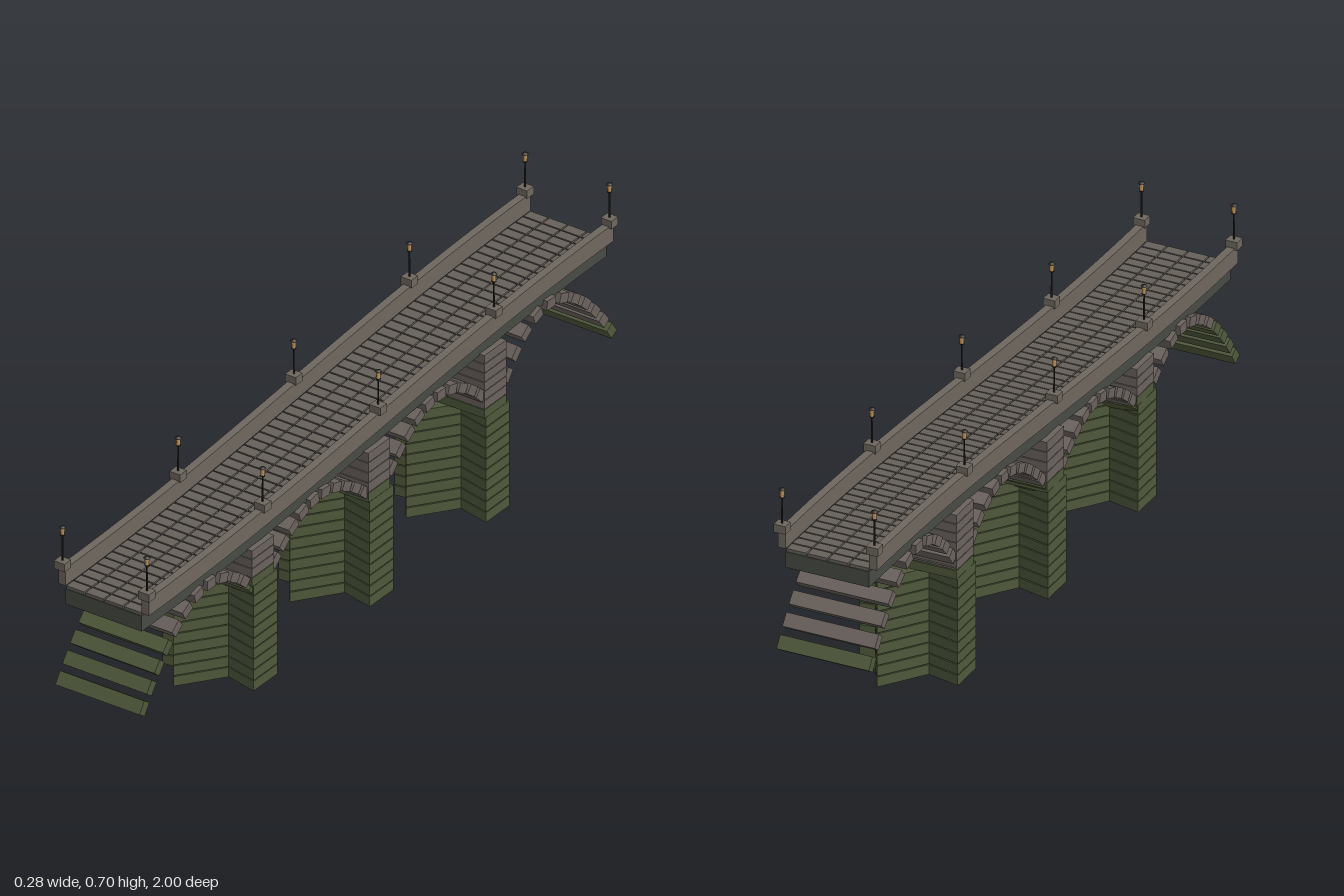
import * as THREE from 'three';

const mat = (name, color, double) => {
  const m = new THREE.MeshStandardMaterial({ color });
  m.name = name;
  return m;
};

export function createModel() {
  const stone = mat('parapet stone', 0x6e675e);
  const arch = mat('arch stone', 0x6a625d);
  const paving = mat('paving stone', 0x66605a);
  const slabMat = mat('deck slab', 0x484b44);
  const moss = mat('mossy stone', 0x4f593b);
  const iron = mat('dark iron', 0x2a2622);
  const glow = mat('lantern amber', 0xc89a5e);

  const model = new THREE.Group();
  model.name = 'bridge';
  const group = (name) => {
    const g = new THREE.Group();
    g.name = name;
    model.add(g);
    return g;
  };
  const add = (parent, name, geo, material, x = 0, y = 0, z = 0, rx = 0) => {
    const m = new THREE.Mesh(geo, material);
    m.name = name;
    m.position.set(x, y, z);
    m.rotation.x = rx;
    parent.add(m);
    return m;
  };
  const box = (w, h, d) => new THREE.BoxGeometry(w, h, d);

  // The deck climbs gently from the front to the back
  const END = 0.975;
  const rise = (z) => -0.0535 * Math.sin((Math.PI * z) / (2 * END));
  const tilt = (z) => -Math.atan((rise(z + 0.01) - rise(z - 0.01)) / 0.02);

  // Band following the climb, between two heights and two sides
  const band = (x0, x1, lo, hi) => {
    const pts = [];
    const n = 24;
    for (let i = 0; i <= n; i++) {
      const z = -END + (2 * END * i) / n;
      pts.push(new THREE.Vector2(z, lo + rise(z)));
    }
    for (let i = n; i >= 0; i--) {
      const z = -END + (2 * END * i) / n;
      pts.push(new THREE.Vector2(z, hi + rise(z)));
    }
    const g = new THREE.ExtrudeGeometry(new THREE.Shape(pts), { depth: x1 - x0, bevelEnabled: false });
    return g.rotateY(-Math.PI / 2).translate(x1, 0, 0);
  };

  // Deck slab and parapets
  const deck = group('deck');
  add(deck, 'slab', band(-0.113, 0.113, 0.434, 0.477), slabMat);
  add(deck, 'leftParapet', band(0.113, 0.134, 0.485, 0.533), stone);
  add(deck, 'rightParapet', band(-0.134, -0.113, 0.485, 0.533), stone);

  // Paving in four columns
  const pavement = group('paving');
  const ROWS = 60;
  const pitch = (2 * END) / ROWS;
  const tile = box(0.0525, 0.01, pitch - 0.004);
  for (let r = 0; r < ROWS; r++) {
    const z = -END + pitch * (r + 0.5);
    for (let c = 0; c < 4; c++) {
      add(pavement, 'pavingStone', tile, paving, (c - 1.5) * 0.0567, 0.4805 + rise(z), z, tilt(z));
    }
  }

  // Lamps on pedestals along both parapets
  const pedestal = box(0.032, 0.022, 0.028);
  const pole = new THREE.CylinderGeometry(0.0018, 0.0025, 0.075, 6);
  const lantern = new THREE.CylinderGeometry(0.006, 0.005, 0.02, 6);
  const cap = new THREE.CylinderGeometry(0.004, 0.0095, 0.004, 6);
  const tray = new THREE.CylinderGeometry(0.0065, 0.0065, 0.002, 6);
  for (const x of [-0.125, 0.125]) {
    for (const z of [-0.97, -0.485, 0, 0.485, 0.97]) {
      const lamp = group('lamp');
      lamp.position.set(x, rise(z), z);
      add(lamp, 'pedestal', pedestal, stone, 0, 0.54, 0);
      add(lamp, 'pole', pole, iron, 0, 0.586, 0);
      add(lamp, 'lanternTray', tray, iron, 0, 0.623, 0);
      add(lamp, 'lantern', lantern, glow, 0, 0.634, 0);
      add(lamp, 'lanternCap', cap, iron, 0, 0.6455, 0);
    }
  }

  // Pier outline: half of the points, the rest by half a turn
  const half = [[-0.128, 0.06], [-0.06, 0.05], [-0.06, 0.11], [-0.043, 0.133], [0.04, 0.02], [0.128, 0.04]];
  const outline = [...half, ...half.map(([x, z]) => [-x, -z])].map(([x, z]) => new THREE.Vector2(x, z));
  const course = new THREE.ExtrudeGeometry(new THREE.Shape(outline), { depth: 0.027, bevelEnabled: false });
  course.rotateX(Math.PI / 2);

  // Piers: ten mossy courses below, a narrow stacked shaft above
  for (const z of [0.487, 0, -0.487]) {
    const pier = group('pier');
    pier.position.z = z;
    for (let i = 0; i < 10; i++) add(pier, 'pierCourse', course, moss, 0, i * 0.0298 + 0.027, 0);
    const top = 0.436 + rise(z);
    const n = Math.round((top - 0.295) / 0.027);
    const h = (top - 0.295) / n;
    const block = box(0.256, h - 0.002, 0.092);
    for (let i = 0; i < n; i++) {
      const y = 0.295 + h * (i + 0.5);
      add(pier, 'shaftCourse', block, y < 0.32 ? moss : arch, 0, y, 0);
    }
  }

  // Arches: start, crown and end as [z, y]
  const arches = [
    [[0.98, 0.17], [0.745, 0.38], [0.52, 0.285]],
    [[0.46, 0.285], [0.24, 0.41], [0.02, 0.295]],
    [[-0.03, 0.305], [-0.25, 0.447], [-0.465, 0.33]],
    [[-0.515, 0.32], [-0.735, 0.48], [-0.98, 0.28]],
  ];
  const voussoir = box(0.25, 0.026, 0.036);
  for (const [a, m, b] of arches) {
    const ring = group('arch');
    const v = (p) => new THREE.Vector2(p[0], p[1]);
    const ctrl = v(m).multiplyScalar(2).sub(v(a).add(v(b)).multiplyScalar(0.5));
    const curve = new THREE.QuadraticBezierCurve(v(a), ctrl, v(b));
    const N = 12;
    for (let i = 0; i < N; i++) {
      const p = curve.getPointAt(i / (N - 1));
      const t = curve.getTangentAt(i / (N - 1));
      add(ring, 'archStone', voussoir, p.y < 0.31 ? moss : arch, 0, p.y, p.x, Math.atan2(-t.y, t.x));
    }
  }
  return model;
}
